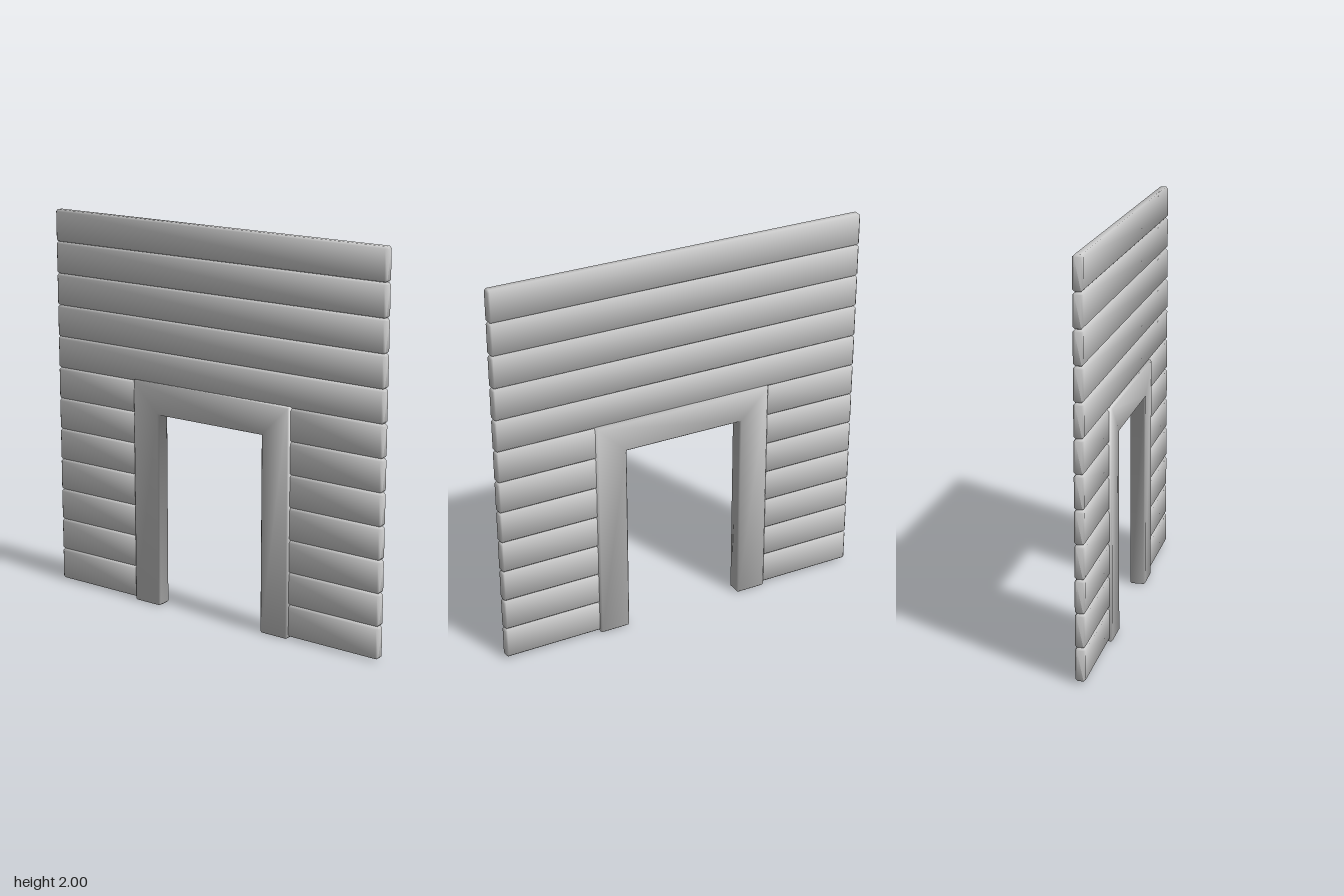
import * as THREE from 'three';

const material = new THREE.MeshStandardMaterial({ color: 0xcccccc });

// Sweeps a chamfered board section along a path in the xy plane, with mitred
// corners, chamfered ends and soft normals across the chamfers.
function boardGeometry(path, width, depth, bevel) {
  const a = width / 2, b = depth / 2, c = bevel;
  const section = [
    [a, -b + c], [a, b - c], [a - c, b], [-a + c, b],
    [-a, b - c], [-a, -b + c], [-a + c, -b], [a - c, -b],
  ];
  const n = section.length;
  const points = path.map(([x, y]) => new THREE.Vector2(x, y));
  const last = points.length - 1;
  const tangents = points.slice(1).map((p, i) => p.clone().sub(points[i]).normalize());
  const across = tangents.map((t) => new THREE.Vector2(-t.y, t.x));

  // Cross-section stations: p centre, u width direction, axial end tilt, inset cap ring
  const stations = [];
  points.forEach((p, i) => {
    if (i === 0 || i === last) {
      const t = i === 0 ? tangents[0].clone().negate() : tangents[last - 1];
      const u = i === 0 ? across[0] : across[last - 1];
      const cap = { p, u, t, tilt: 2.4, inset: true };
      const rim = { p: p.clone().addScaledVector(t, -c), u, t, tilt: 0.4, inset: false };
      stations.push(...(i === 0 ? [cap, rim] : [rim, cap]));
    } else {
      const u = across[i - 1].clone().add(across[i]);
      u.divideScalar(1 + across[i - 1].dot(across[i]));
      stations.push({ p, u, t: tangents[i], tilt: 0, inset: false });
    }
  });

  const positions = [], normals = [], index = [];
  const normal = new THREE.Vector3();
  for (const { p, u, t, tilt, inset } of stations) {
    const dir = u.clone().normalize();
    section.forEach(([su, sv], i) => {
      const w = inset ? THREE.MathUtils.clamp(su, c - a, a - c) : su;
      const d = inset ? THREE.MathUtils.clamp(sv, c - b, b - c) : sv;
      positions.push(p.x + u.x * w, p.y + u.y * w, d);
      const angle = (i - 0.5) * Math.PI / 4;
      const nu = Math.cos(angle), nv = Math.sin(angle);
      normal.set(dir.x * nu + t.x * tilt, dir.y * nu + t.y * tilt, nv).normalize();
      normals.push(normal.x, normal.y, normal.z);
    });
  }
  for (let s = 0; s < stations.length - 1; s++) {
    for (let i = 0; i < n; i++) {
      const p = s * n + i, q = s * n + (i + 1) % n;
      index.push(p, q, q + n, p, q + n, p + n);
    }
  }
  const end = (stations.length - 1) * n;
  for (let i = 1; i < n - 1; i++) {
    index.push(0, i + 1, i, end, end + i, end + i + 1);
  }

  const geometry = new THREE.BufferGeometry();
  geometry.setAttribute('position', new THREE.Float32BufferAttribute(positions, 3));
  geometry.setAttribute('normal', new THREE.Float32BufferAttribute(normals, 3));
  geometry.setIndex(index);
  return geometry;
}

function addBoard(parent, name, path, width, depth, bevel) {
  const mesh = new THREE.Mesh(boardGeometry(path, width, depth, bevel), material);
  mesh.name = name;
  parent.add(mesh);
}

export function createModel() {
  const model = new THREE.Group();
  model.name = 'plankWallWithDoorway';

  // Horizontal planks: split either side of the doorway, full width above it
  const planks = new THREE.Group();
  planks.name = 'planks';
  model.add(planks);
  const rows = 12, splitRows = 7, pitch = 0.166, height = 0.164, halfWidth = 0.992;
  for (let row = 0; row < rows; row++) {
    const y = 2 - height / 2 - (rows - 1 - row) * pitch;
    if (row < splitRows) {
      addBoard(planks, 'rightPlank', [[-halfWidth, y], [-0.4, y]], height, 0.05, 0.01);
      addBoard(planks, 'leftPlank', [[0.4, y], [halfWidth, y]], height, 0.05, 0.01);
    } else {
      addBoard(planks, 'upperPlank', [[-halfWidth, y], [halfWidth, y]], height, 0.05, 0.01);
    }
  }

  // Mitred door surround
  const frameWidth = 0.162, x = 0.478 - frameWidth / 2, top = 1.18 - frameWidth / 2;
  addBoard(model, 'doorFrame', [[-x, 0], [-x, top], [x, top], [x, 0]], frameWidth, 0.08, 0.008);

  return model;
}
